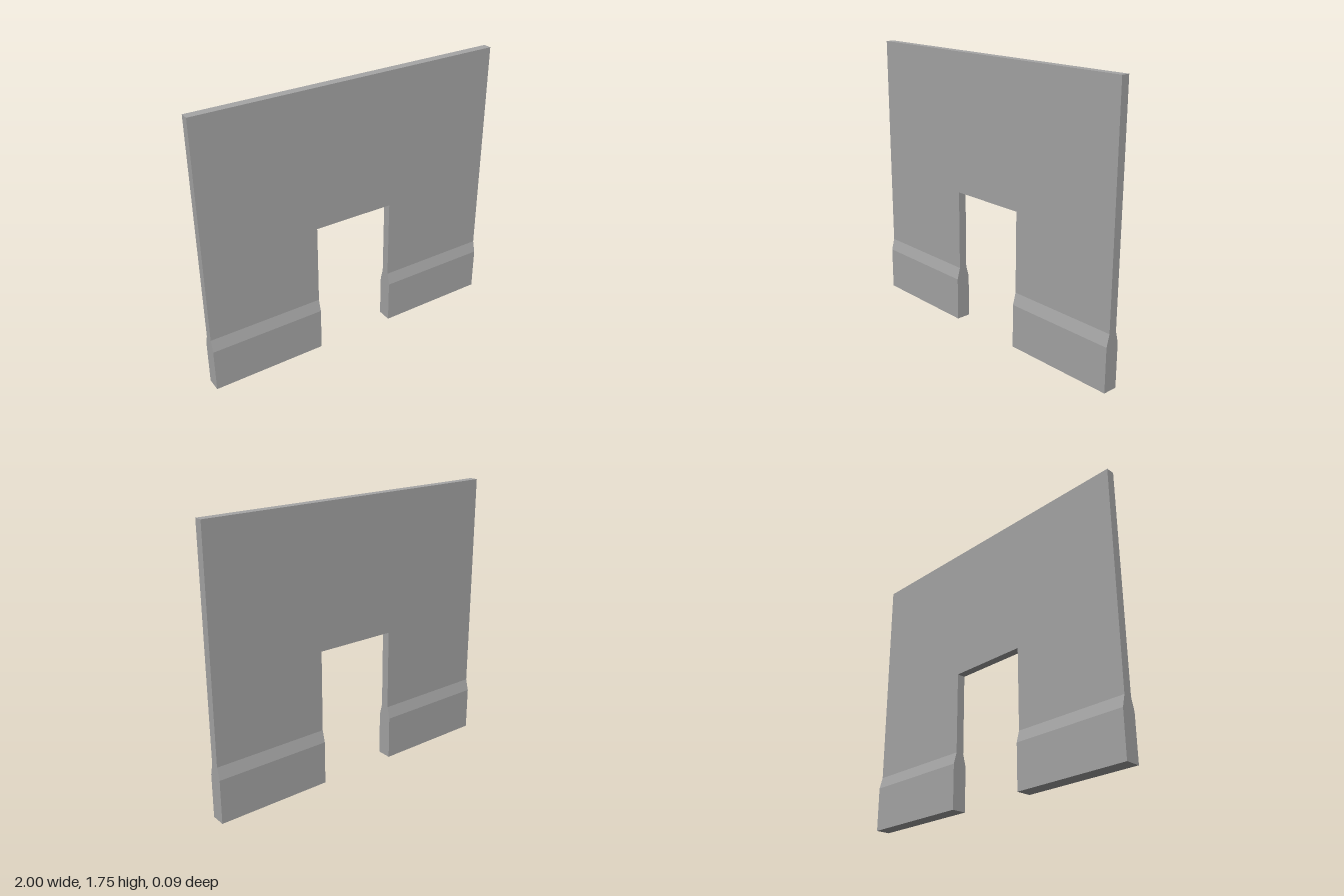
import * as THREE from 'three';

const HALF_W = 1, HEIGHT = 1.755;          // overall wall
const GAP = 0.263, GAP_TOP = 0.87;         // doorway half width and height
const WALL_T = 0.027, BASE_T = 0.047;      // half thicknesses
const BASE_TOP = 0.28, BEVEL_TOP = 0.355;  // plinth and its sloped cap

const shapeOf = (pts) => new THREE.Shape(pts.map(([x, y]) => new THREE.Vector2(x, y)));

export function createModel() {
  const group = new THREE.Group();
  group.name = 'doorwayWall';
  const stone = new THREE.MeshStandardMaterial({ color: 0xa6a6a6 });
  stone.name = 'stone grey';

  // Thin wall above the plinths, with the doorway cut out
  const wallGeo = new THREE.ExtrudeGeometry(shapeOf([
    [-HALF_W, BEVEL_TOP], [-GAP, BEVEL_TOP], [-GAP, GAP_TOP], [GAP, GAP_TOP],
    [GAP, BEVEL_TOP], [HALF_W, BEVEL_TOP], [HALF_W, HEIGHT], [-HALF_W, HEIGHT],
  ]), { depth: WALL_T * 2, bevelEnabled: false });
  wallGeo.translate(0, 0, -WALL_T);
  const wall = new THREE.Mesh(wallGeo, stone);
  wall.name = 'wall';
  group.add(wall);

  // Thicker plinths either side of the doorway, sloping in to the wall
  const width = HALF_W - GAP;
  const plinthGeo = new THREE.ExtrudeGeometry(shapeOf([
    [-BASE_T, 0], [BASE_T, 0], [BASE_T, BASE_TOP],
    [WALL_T, BEVEL_TOP], [-WALL_T, BEVEL_TOP], [-BASE_T, BASE_TOP],
  ]), { depth: width, bevelEnabled: false });
  plinthGeo.translate(0, 0, -width / 2).rotateY(Math.PI / 2);
  for (const side of [1, -1]) {
    const plinth = new THREE.Mesh(plinthGeo, stone);
    plinth.name = side > 0 ? 'leftPlinth' : 'rightPlinth';
    plinth.position.x = side * (GAP + HALF_W) / 2;
    group.add(plinth);
  }
  return group;
}
